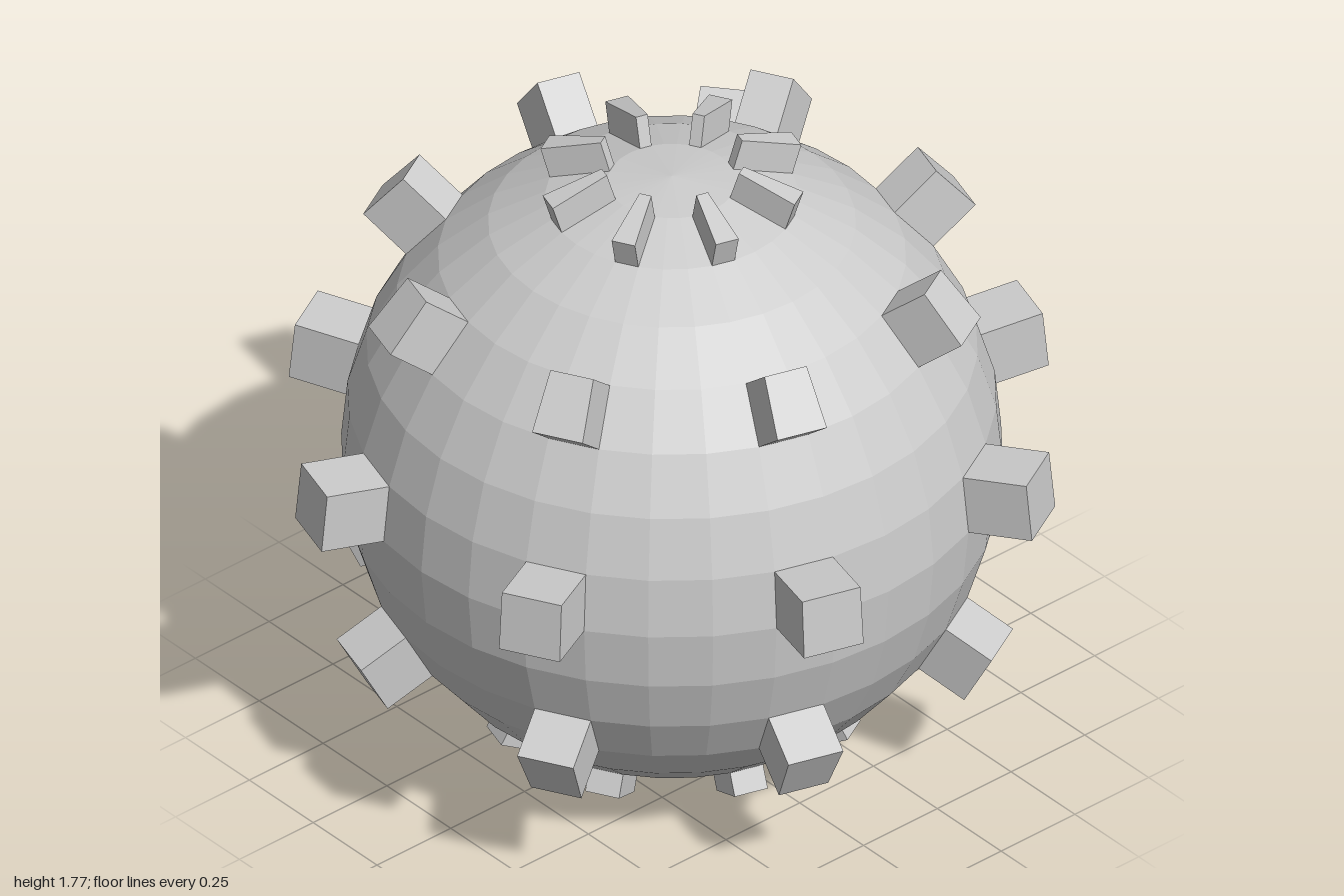
import * as THREE from 'three';

const R = 0.85;                  // sphere radius
const STEP = Math.PI / 16;       // one facet of the 32 x 16 sphere
const material = new THREE.MeshStandardMaterial({ color: 0xcccccc, flatShading: true });

// Direction from the centre: azimuth runs from +x towards +z
function direction(azimuth, latitude) {
  return new THREE.Vector3(
    Math.cos(latitude) * Math.cos(azimuth),
    Math.sin(latitude),
    Math.cos(latitude) * Math.sin(azimuth)
  );
}

// A block that pushes one sphere facet outwards along its normal.
// column and row count facets from +x and from the equator.
function studGeometry(column, row, height) {
  const azimuth = (column + 0.5) * STEP;
  const latitude = (row + 0.5) * STEP;
  const normal = direction(azimuth, latitude);
  const geometry = new THREE.BoxGeometry(1, 1, 1);
  const p = geometry.attributes.position;
  for (let i = 0; i < p.count; i++) {
    const corner = direction(azimuth - p.getX(i) * STEP, latitude + p.getY(i) * STEP).multiplyScalar(R);
    if (p.getZ(i) > 0) corner.addScaledVector(normal, height);
    p.setXYZ(i, corner.x, corner.y, corner.z);
  }
  geometry.computeVertexNormals();
  return geometry;
}

export function createModel() {
  const model = new THREE.Group();
  model.name = 'studdedSphere';

  // Faceted ball
  const ball = new THREE.Mesh(new THREE.SphereGeometry(R, 32, 16), material);
  ball.name = 'ball';
  ball.position.y = R;
  model.add(ball);

  const addStud = (parent, name, column, row, height) => {
    const stud = new THREE.Mesh(studGeometry(column, row, height), material);
    stud.name = name;
    parent.add(stud);
  };

  // Five rings of eight studs
  const rings = [
    ['topRing', 6, 0.086],
    ['upperRing', 3, 0.152],
    ['middleRing', 0, 0.175],
    ['lowerRing', -3, 0.142],
    ['bottomRing', -6, 0.063],
  ];
  for (const [name, row, height] of rings) {
    const ring = new THREE.Group();
    ring.name = name;
    ring.position.y = R;
    for (let i = 0; i < 8; i++) addStud(ring, 'stud', 1 + 4 * i, row, height);
    model.add(ring);
  }

  // Single odd stud at the back
  const extra = new THREE.Group();
  extra.name = 'extraStud';
  extra.position.y = R;
  addStud(extra, 'stud', 20, 2, 0.15);
  model.add(extra);

  return model;
}
